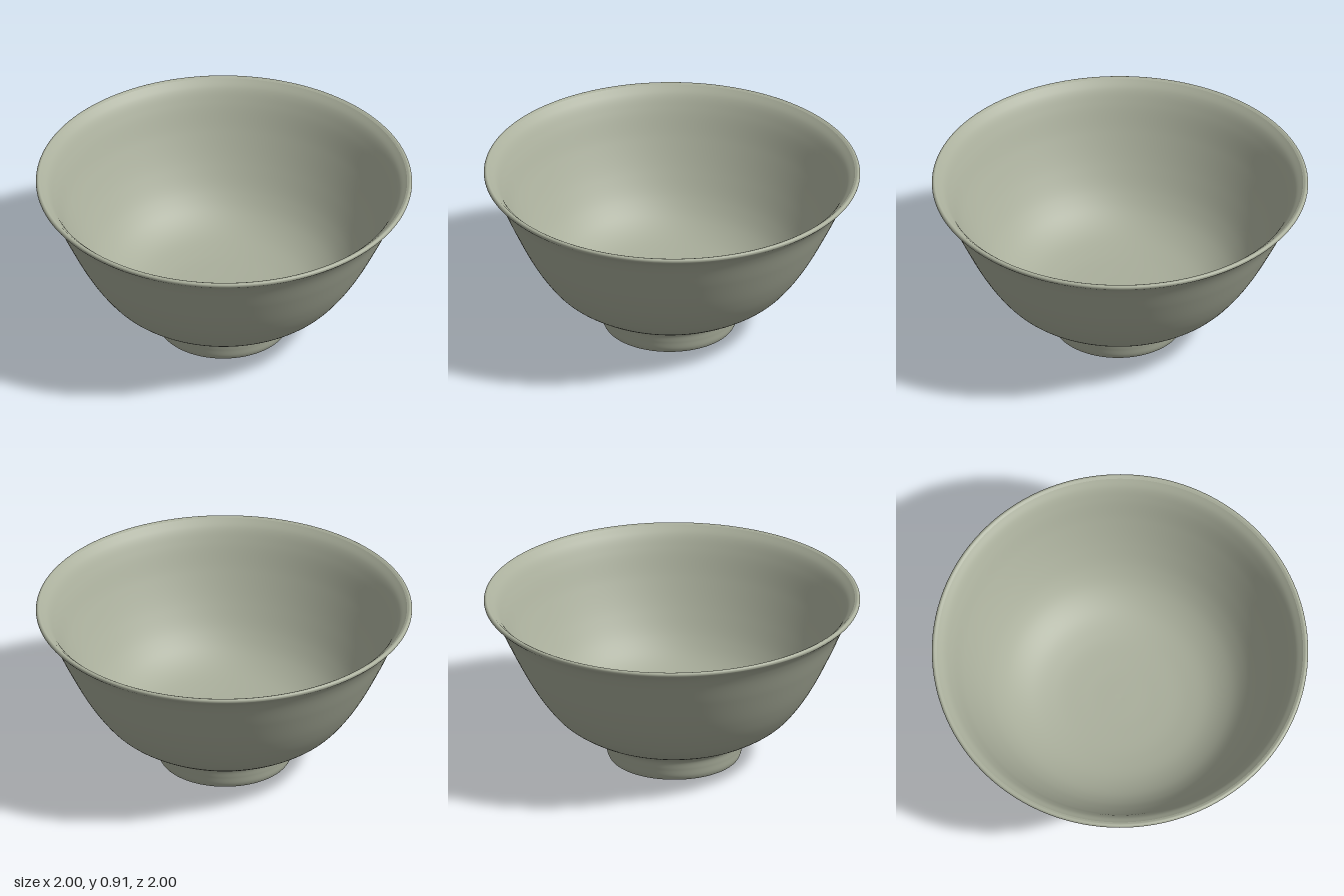
import * as THREE from 'three';

const celadon = new THREE.MeshStandardMaterial({ color: 0xa9ae9b });
celadon.name = 'celadon glaze';

// Smooth a few [radius, height] points into a lathe profile.
function smoothProfile(points, divisions) {
  const curve = new THREE.CatmullRomCurve3(
    points.map(([r, y]) => new THREE.Vector3(r, y, 0)), false, 'centripetal');
  return curve.getPoints(divisions).map(p => new THREE.Vector2(Math.max(0, p.x), p.y));
}

// Hand-thrown irregularity: the foot sits slightly off centre and the rim tips a little.
function throwOffCentre(geometry) {
  const pos = geometry.attributes.position;
  for (let i = 0; i < pos.count; i++) {
    const y = pos.getY(i), t = y / 0.91;
    pos.setY(i, y - 0.004 * pos.getX(i) * t);
    pos.setX(i, pos.getX(i) - 0.012 * (1 - t));
    pos.setZ(i, pos.getZ(i) + 0.006 * (1 - t));
  }
  return geometry;
}

function turned(name, points, divisions) {
  const geometry = throwOffCentre(new THREE.LatheGeometry(smoothProfile(points, divisions), 128));
  const mesh = new THREE.Mesh(geometry, celadon);
  mesh.name = name;
  return mesh;
}

export function createModel() {
  const group = new THREE.Group();
  group.name = 'bowl';

  // Foot ring: recessed underside, tapered inner wall, rounded base and flared outer wall
  group.add(turned('footRing', [
    [0, 0.12], [0.15, 0.119], [0.265, 0.115], [0.29, 0.1], [0.305, 0.05], [0.318, 0.01],
    [0.328, 0.001], [0.343, 0.004], [0.355, 0.025], [0.363, 0.07], [0.373, 0.115], [0.4, 0.143],
  ], 90));

  // Outer wall, from the foot out to the flared lip
  group.add(turned('outerWall', [
    [0.4, 0.143], [0.45, 0.165], [0.53, 0.205], [0.62, 0.27], [0.695, 0.36], [0.77, 0.48],
    [0.86, 0.66], [0.925, 0.8], [0.96, 0.855], [0.992, 0.885],
  ], 90));

  // Rounded rim
  group.add(turned('rim', [
    [0.992, 0.885], [0.999, 0.894], [0.998, 0.905], [0.988, 0.911], [0.973, 0.905],
  ], 24));

  // Inner wall and rounded floor
  group.add(turned('innerWall', [
    [0.973, 0.905], [0.935, 0.868], [0.895, 0.8], [0.83, 0.66], [0.745, 0.5], [0.665, 0.38],
    [0.585, 0.3], [0.48, 0.24], [0.35, 0.207], [0.18, 0.193], [0, 0.19],
  ], 100));

  return group;
}
